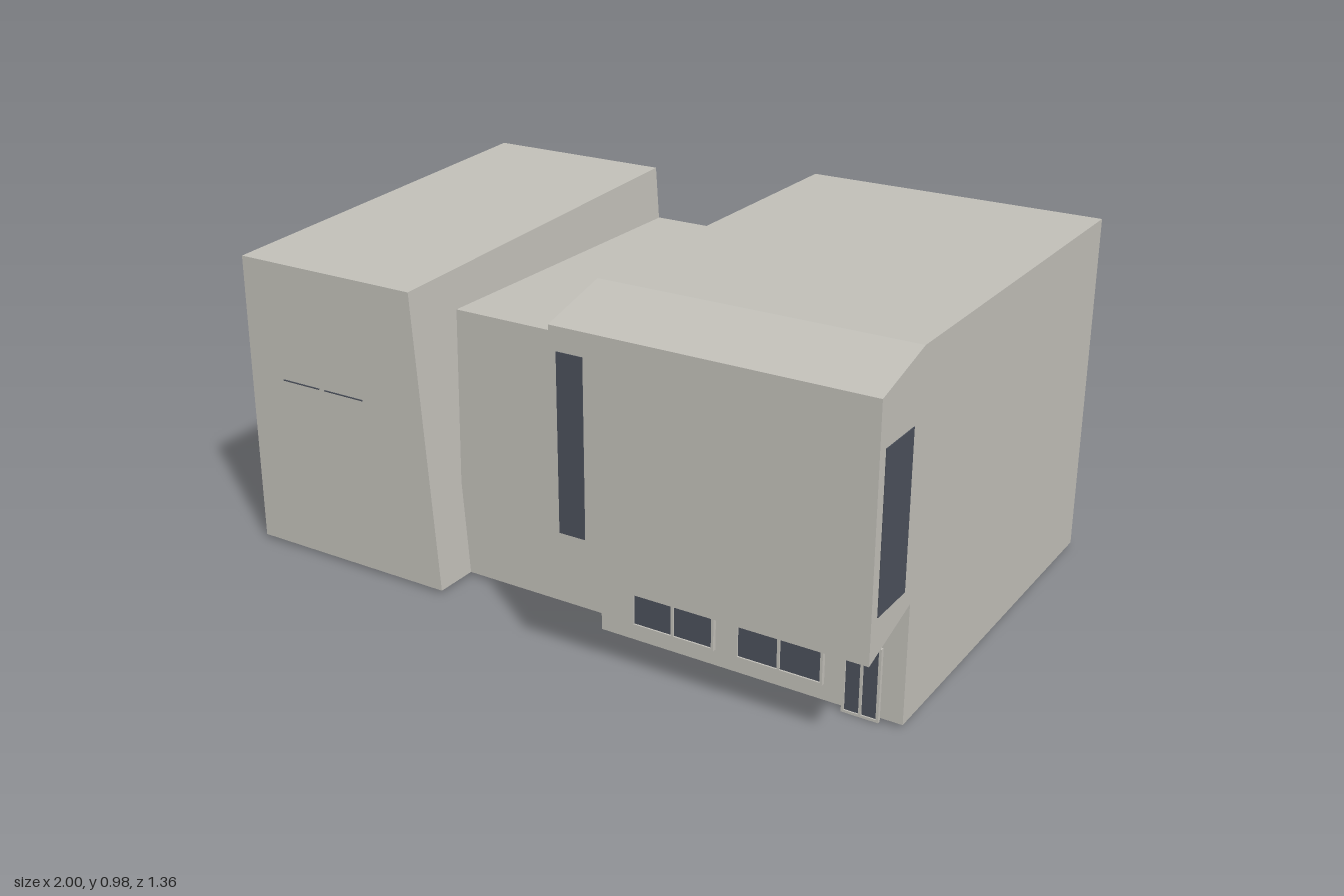
import * as THREE from 'three';

const wall = new THREE.MeshStandardMaterial({ color: 0xc0beb7 });
wall.name = 'warm grey wall';
const glass = new THREE.MeshStandardMaterial({ color: 0x4b505a });
glass.name = 'dark glass';

function mesh(name, geometry, material) {
  const m = new THREE.Mesh(geometry, material);
  m.name = name;
  return m;
}

// Box given by its limits on each axis
function box(name, material, x0, x1, y0, y1, z0, z1) {
  const g = new THREE.BoxGeometry(x1 - x0, y1 - y0, z1 - z0);
  g.translate((x0 + x1) / 2, (y0 + y1) / 2, (z0 + z1) / 2);
  return mesh(name, g, material);
}

// Move box corners by a rule, keeping every face flat shaded
function reshape(m, rule) {
  const p = m.geometry.attributes.position;
  const v = new THREE.Vector3();
  for (let i = 0; i < p.count; i++) {
    rule(v.fromBufferAttribute(p, i));
    p.setXYZ(i, v.x, v.y, v.z);
  }
  m.geometry.computeVertexNormals();
  return m;
}

// Framed opening with two panes, standing on the plane z = 0 and facing +z
function framedPanes(name, width, height, depth, bar = 0.007) {
  const group = new THREE.Group();
  group.name = name;
  const w = width / 2;
  const shape = new THREE.Shape();
  shape.moveTo(-w, 0).lineTo(w, 0).lineTo(w, height).lineTo(-w, height).closePath();
  for (const [a, b] of [[-w + bar, -bar / 2], [bar / 2, w - bar]]) {
    const hole = new THREE.Path();
    hole.moveTo(a, bar).lineTo(a, height - bar).lineTo(b, height - bar).lineTo(b, bar).closePath();
    shape.holes.push(hole);
  }
  group.add(mesh('frame', new THREE.ExtrudeGeometry(shape, { depth, bevelEnabled: false }), wall));
  group.add(box('panes', glass, -w + bar / 2, w - bar / 2, bar / 2, height - bar / 2, 0, depth * 0.6));
  return group;
}

export function createModel() {
  const model = new THREE.Group();
  model.name = 'building';

  // Tall wing: side profile with overhanging upper storey, extruded along x
  const profile = new THREE.Shape([
    [0.67, 0.01], [0.67, 0.98], [-0.47, 0.98], [-0.68, 0.925],
    [-0.68, 0.275], [-0.47, 0.338], [-0.47, 0.01],
  ].map(([a, b]) => new THREE.Vector2(a, b)));
  const tall = new THREE.ExtrudeGeometry(profile, { depth: 0.865, bevelEnabled: false });
  tall.rotateY(Math.PI / 2).translate(0.135, 0, 0);
  model.add(mesh('tallWing', tall, wall));

  // Middle link, its free side leaning slightly outward at the foot
  model.add(reshape(
    box('middleLink', wall, -0.363, 0.14, 0.01, 0.785, -0.605, 0.4),
    (v) => { if (v.x < 0 && v.y < 0.1) v.x = -0.377; },
  ));

  // Low wing: inner wall leans away and the roof falls towards the front
  model.add(reshape(
    box('lowWing', wall, -1, -0.352, 0.01, 0.92, -0.67, 0.53),
    (v) => {
      if (v.y < 0.1) return;
      if (v.x > -0.9) v.x = -0.416;
      if (v.z > 0) v.y = 0.86;
    },
  ));

  // Ground floor windows and door under the overhang
  for (const x of [0.358, 0.665]) {
    const win = framedPanes('groundWindow', 0.245, 0.185, 0.012);
    win.position.set(x, 0.055, 0.47);
    model.add(win);
  }
  const door = framedPanes('doubleDoor', 0.1, 0.202, 0.01);
  door.position.set(0.89, 0, 0.47);
  model.add(door);

  // Rear windows of the low wing, each with a small sill
  for (const [x0, x1] of [[-0.943, -0.685], [-0.65, -0.44]]) {
    const win = framedPanes('rearWindow', x1 - x0, 0.16, 0.007);
    win.position.set((x0 + x1) / 2, 0.06, -0.67);
    win.rotation.y = Math.PI;
    model.add(win, box('rearSill', wall, x0, x1, 0.059, 0.065, -0.681, -0.67));
  }

  // Upper storey glazing
  model.add(box('tallFrontWindow', glass, 0.157, 0.232, 0.387, 0.862, 0.677, 0.682));
  model.add(box('sideWindow', glass, 0.996, 1.002, 0.387, 0.8, 0.508, 0.65));

  // Hairline slots on the front of the low wing
  for (const [x0, x1] of [[-0.88, -0.75], [-0.73, -0.595]]) {
    model.add(box('frontSlot', glass, x0, x1, 0.518, 0.521, 0.528, 0.533));
  }

  return model;
}
